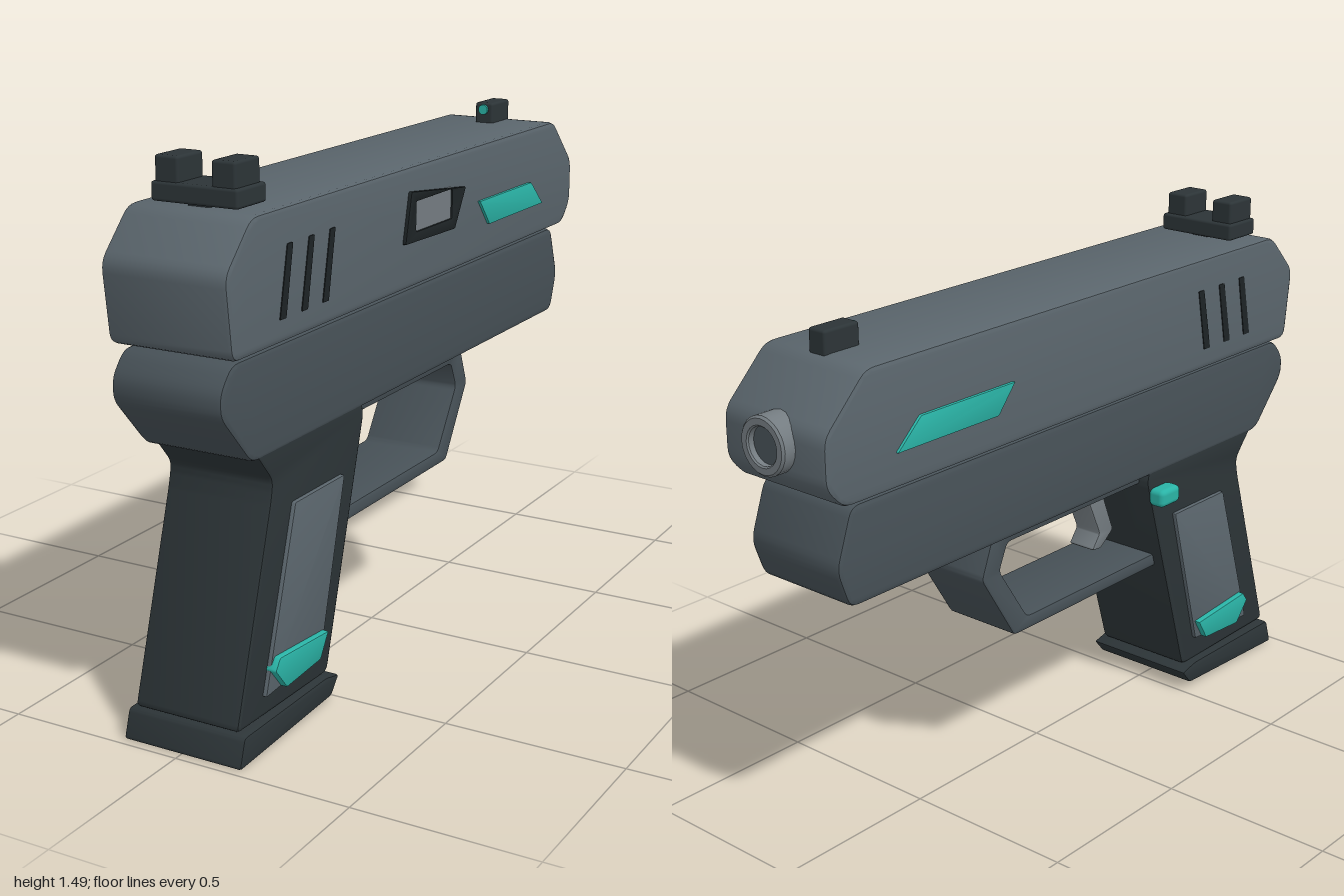
import * as THREE from 'three';
import { toCreasedNormals } from 'three/addons/utils/BufferGeometryUtils.js';
import { RoundedBoxGeometry } from 'three/addons/geometries/RoundedBoxGeometry.js';

const mat = (color) => new THREE.MeshStandardMaterial({ color });
const CX = 0.003; // centre line of the body

// Closed outline through [z, y] corners, each rounded by r
function outline(points, r, Type = THREE.Shape) {
  const path = new Type();
  const p = points.map(([z, y]) => new THREE.Vector2(z, y));
  const n = p.length;
  p.forEach((c, i) => {
    const toward = (q) => c.clone().lerp(q, Math.min(r / c.distanceTo(q), 0.4));
    const a = toward(p[(i + n - 1) % n]);
    const b = toward(p[(i + 1) % n]);
    if (i === 0) path.moveTo(a.x, a.y);
    else path.lineTo(a.x, a.y);
    path.quadraticCurveTo(c.x, c.y, b.x, b.y);
  });
  path.closePath();
  return path;
}

// Side profile extruded across x from x0 to x1, with bevelled rims
function slab(name, material, points, x0, x1, { bevel = 0.01, round = 0.02, hole } = {}) {
  const shape = outline(points, round);
  if (hole) shape.holes.push(outline(hole, round, THREE.Path));
  const geo = new THREE.ExtrudeGeometry(shape, {
    depth: x1 - x0 - 2 * bevel, curveSegments: 4, bevelEnabled: bevel > 0,
    bevelThickness: bevel, bevelSize: bevel, bevelOffset: -bevel, bevelSegments: 2,
  });
  geo.rotateY(-Math.PI / 2);
  geo.translate(x1 - bevel, 0, 0);
  const mesh = new THREE.Mesh(toCreasedNormals(geo, 0.6), material);
  mesh.name = name;
  return mesh;
}

// Rounded block given by its minimum and maximum corners
function block(name, material, [x0, y0, z0], [x1, y1, z1], r = 0.008) {
  const geo = new RoundedBoxGeometry(x1 - x0, y1 - y0, z1 - z0, 2, r);
  const mesh = new THREE.Mesh(geo, material);
  mesh.position.set((x0 + x1) / 2, (y0 + y1) / 2, (z0 + z1) / 2);
  mesh.name = name;
  return mesh;
}

export function createModel() {
  const model = new THREE.Group();
  model.name = 'toyPistol';
  const steel = mat(0x5a656c), frameGrey = mat(0x475157), dark = mat(0x2c3437);
  const black = mat(0x1d2325), light = mat(0x747c81), teal = mat(0x2ab3a6);
  const add = (...parts) => model.add(...parts);

  // Same thin plate on both flanks, from half-width a out to half-width b
  const flanks = (name, material, points, a, b, options) => {
    add(slab(name + 'Left', material, points, CX + a, CX + b, options));
    add(slab(name + 'Right', material, points, CX - b, CX - a, options));
  };

  // Slide and frame
  add(slab('slide', steel, [[0.885, 1.37], [-0.82, 1.37], [-0.962, 1.23], [-0.962, 1.1],
    [-0.905, 1.04], [0.975, 1.04], [1.0, 1.25]], -0.175, 0.181, { bevel: 0.012, round: 0.03 }));
  add(slab('frame', frameGrey, [[0.95, 1.03], [-0.865, 1.03], [-0.92, 0.875], [-0.88, 0.763],
    [0.87, 0.763], [1.0, 0.91], [1.0, 0.97]], -0.155, 0.161, { bevel: 0.012, round: 0.03 }));

  // Grip, base plate and grip inlays
  add(slab('grip', dark, [[0.85, 0.78], [0.775, 0.69], [0.785, 0.64], [0.957, 0.085],
    [0.52, 0.078], [0.32, 0.74], [0.33, 0.78]], -0.152, 0.158));
  add(slab('basePlate', dark, [[0.955, 0.08], [0.98, 0.0], [0.535, 0.018], [0.495, 0.065],
    [0.56, 0.08]], -0.174, 0.18, { bevel: 0.008, round: 0.012 }));
  flanks('gripPanel', steel, [[0.69, 0.61], [0.445, 0.61], [0.57, 0.155], [0.84, 0.138]],
    0.145, 0.167, { bevel: 0.004, round: 0.006 });
  flanks('gripAccent', teal, [[0.8, 0.235], [0.562, 0.217], [0.602, 0.152], [0.77, 0.142], [0.822, 0.205]],
    0.15, 0.185, { bevel: 0.005, round: 0.006 });

  // Trigger guard and trigger
  add(slab('triggerGuard', frameGrey, [[0.44, 0.78], [-0.31, 0.78], [-0.36, 0.65], [-0.23, 0.443],
    [0.5, 0.443]], CX - 0.12, CX + 0.12, { bevel: 0.006, round: 0.015,
    hole: [[0.36, 0.73], [-0.255, 0.73], [-0.288, 0.655], [-0.175, 0.483], [0.43, 0.483]] }));
  add(slab('trigger', light, [[0.235, 0.74], [0.165, 0.74], [0.238, 0.58], [0.204, 0.535],
    [0.245, 0.53], [0.302, 0.575]], CX - 0.045, CX + 0.045, { bevel: 0.006, round: 0.01 }));

  // Slanted rear grooves and coloured stripes on the slide
  for (let i = 0; i < 3; i++) {
    const z = 0.735 - i * 0.1;
    flanks('groove' + (i + 1), black, [[z, 1.28], [z - 0.025, 1.28], [z + 0.01, 1.1], [z + 0.038, 1.1]],
      0.17, 0.1805, { bevel: 0, round: 0.003 });
  }
  flanks('slideStripe', teal, [[-0.295, 1.21], [-0.645, 1.21], [-0.73, 1.133], [-0.36, 1.133]],
    0.168, 0.186, { bevel: 0.003, round: 0.005 });

  // Side port with its inset
  add(slab('portRim', black, [[0.122, 1.305], [-0.2, 1.268], [-0.135, 1.16], [0.155, 1.167]],
    0.17, 0.191, { bevel: 0.003, round: 0.006,
      hole: [[0.095, 1.275], [-0.115, 1.275], [-0.115, 1.193], [0.095, 1.193]] }));
  add(block('portInset', light, [0.165, 1.188, -0.12], [0.186, 1.28, 0.1], 0.002));

  // Release button
  add(block('releaseButton', teal, [-0.2, 0.668, 0.33], [-0.145, 0.722, 0.42], 0.016));

  // Rear sight
  const rearSight = new THREE.Group();
  rearSight.name = 'rearSight';
  rearSight.add(block('sightFoot', dark, [-0.03, 1.36, 0.76], [0.035, 1.39, 0.84], 0.004));
  rearSight.add(block('sightBase', dark, [-0.121, 1.376, 0.735], [0.127, 1.425, 0.862]));
  for (const s of [-1, 1]) {
    const x = CX + s * 0.081;
    rearSight.add(block('sightPost', dark, [x - 0.034, 1.415, 0.747], [x + 0.034, 1.488, 0.856]));
  }
  add(rearSight);

  // Front sight with coloured dot
  add(block('frontSight', dark, [CX - 0.029, 1.36, -0.81], [CX + 0.029, 1.43, -0.692]));
  const dot = new THREE.Mesh(new THREE.CylinderGeometry(0.015, 0.015, 0.012, 16), teal);
  dot.name = 'sightDot';
  dot.rotation.x = Math.PI / 2;
  dot.position.set(CX, 1.41, -0.69);
  add(dot);

  // Muzzle ring with a recessed bore
  const ring = [[0.05, 0], [0.05, 0.068], [0.054, 0.072], [0.071, 0.072], [0.077, 0.066], [0.077, 0]];
  const lathe = new THREE.LatheGeometry(ring.reverse().map(([r, h]) => new THREE.Vector2(r, h)), 24);
  const muzzle = new THREE.Mesh(toCreasedNormals(lathe, 0.6), light.clone());
  muzzle.material.side = THREE.DoubleSide;
  muzzle.name = 'muzzleRing';
  const bore = new THREE.Mesh(new THREE.CylinderGeometry(0.052, 0.052, 0.05, 24), frameGrey);
  bore.name = 'bore';
  for (const [part, z] of [[muzzle, -0.928], [bore, -0.955]]) {
    part.rotation.x = -Math.PI / 2;
    part.position.set(CX, 1.182, z);
    add(part);
  }
  return model;
}
